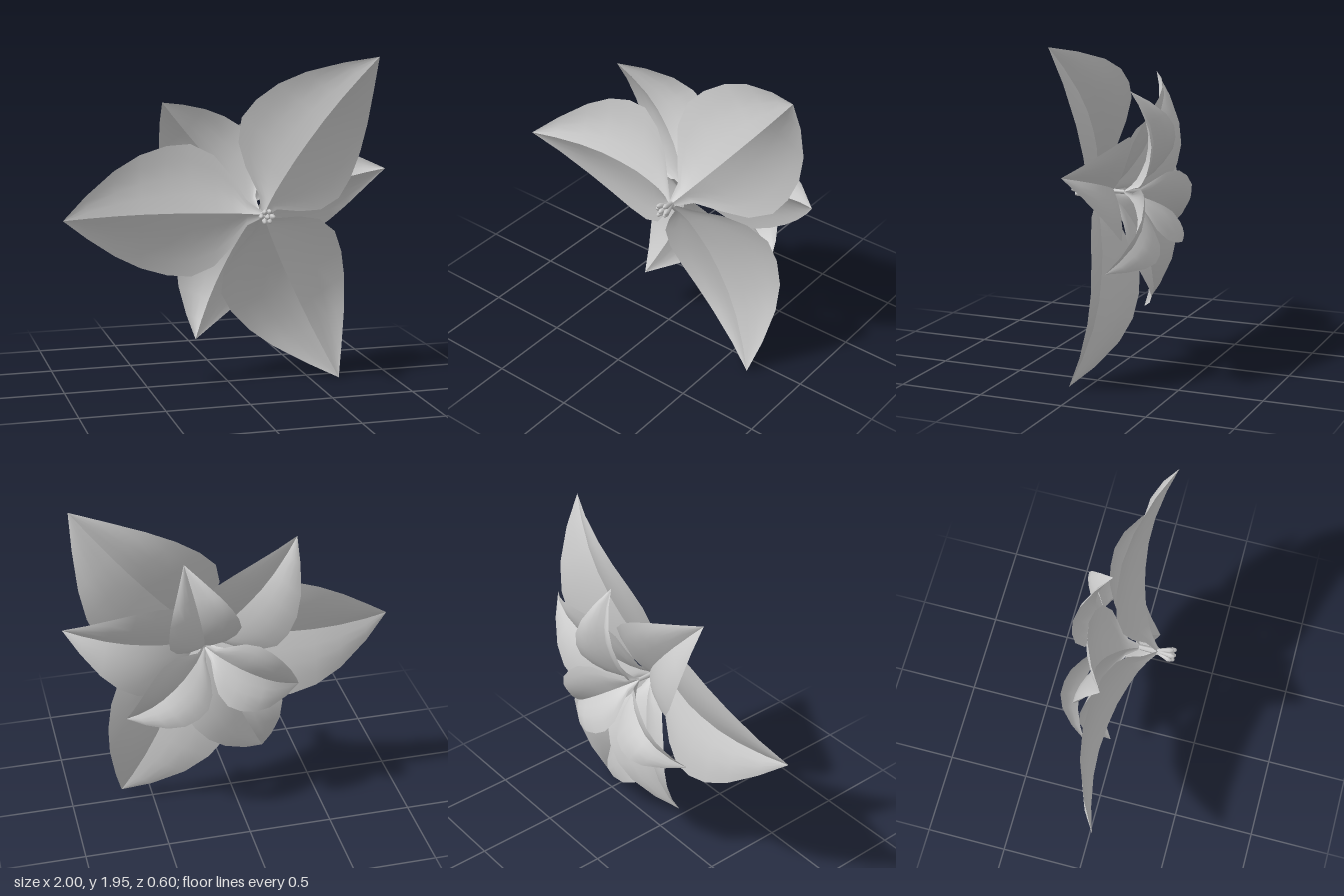
import * as THREE from 'three';

const material = new THREE.MeshStandardMaterial({ color: 0xcccccc, side: THREE.DoubleSide });
const CENTRE_X = 0.165, CENTRE_Y = 1.06;

// Leaf cross-sections: distance from the base, half width, rib height, drop of the edge below the rib
const SECTIONS = [
  [0, 0.015, 0.2, 0.005],
  [0.08, 0.075, 0.145, 0.03],
  [0.16, 0.22, 0.105, 0.06],
  [0.25, 0.335, 0.075, 0.075],
  [0.38, 0.4, 0.04, 0.088],
  [0.52, 0.39, 0.02, 0.092],
  [0.68, 0.34, 0.01, 0.09],
  [0.84, 0.255, 0.02, 0.075],
  [1.02, 0.125, 0.055, 0.042],
  [1.17, 0, 0.1, 0],
];

// One half of a petal, on the side +1 or -1 of its rib
function halfPetal(side) {
  const columns = 4, positions = [], indices = [];
  for (const [r, w, z, drop] of SECTIONS) {
    for (let j = 0; j <= columns; j++) {
      const u = j / columns;
      // steep beside the rib, flattening towards the edge
      positions.push(r, side * w * u, z - drop * (1 - (1 - u) ** 2));
    }
  }
  const row = columns + 1;
  for (let i = 0; i < SECTIONS.length - 1; i++) {
    for (let j = 0; j < columns; j++) {
      const a = i * row + j, b = a + row, c = b + 1, d = a + 1;
      if (side > 0) indices.push(a, b, c, a, c, d);
      else indices.push(a, c, b, a, d, c);
    }
  }
  const geometry = new THREE.BufferGeometry();
  geometry.setAttribute('position', new THREE.Float32BufferAttribute(positions, 3));
  geometry.setIndex(indices);
  geometry.computeVertexNormals();
  return geometry;
}

export function createModel() {
  const model = new THREE.Group();
  model.name = 'flower';
  const flower = new THREE.Group();
  flower.name = 'flowerHead';
  flower.position.set(CENTRE_X, CENTRE_Y, 0);
  model.add(flower);

  // Three whorls of three petals, each smaller and further back
  const halves = [halfPetal(1), halfPetal(-1)];
  const whorls = [
    { name: 'largePetal', scale: 1, turn: 50.5, z: 0 },
    { name: 'middlePetal', scale: 0.735, turn: 245, z: -0.11 },
    { name: 'smallPetal', scale: 0.535, turn: 77.5, z: -0.22 },
  ];
  for (const { name, scale, turn, z } of whorls) {
    for (const angle of [0, 129.5, 245.5]) {
      const petal = new THREE.Group();
      petal.name = name;
      for (const half of halves) {
        const mesh = new THREE.Mesh(half, material);
        mesh.name = name + 'Half';
        petal.add(mesh);
      }
      petal.scale.set(scale, scale, 1);
      petal.rotation.z = THREE.MathUtils.degToRad(turn + angle);
      petal.position.z = z;
      flower.add(petal);
    }
  }

  // Short stem joining the whorls
  const stem = new THREE.Mesh(new THREE.CylinderGeometry(0.022, 0.012, 0.24, 6), material);
  stem.name = 'stem';
  stem.rotation.x = Math.PI / 2;
  stem.position.z = 0.09;
  flower.add(stem);

  // Cluster of small buds at the heart, one in the middle and a ring leaning outwards
  const budProfile = [[0, 0], [0.009, 0], [0.014, 0.05], [0.018, 0.075], [0.01, 0.095], [0, 0.1]]
    .map(([x, y]) => new THREE.Vector2(x, y));
  const budGeometry = new THREE.LatheGeometry(budProfile, 6);
  const up = new THREE.Vector3(0, 1, 0);
  for (let i = 0; i < 7; i++) {
    const a = (i / 6) * Math.PI * 2;
    const lean = i === 6 ? 0 : 0.3;
    const direction = new THREE.Vector3(lean * Math.cos(a), lean * Math.sin(a), 1).normalize();
    const bud = new THREE.Mesh(budGeometry, material);
    bud.name = 'bud';
    bud.quaternion.setFromUnitVectors(up, direction);
    bud.position.set(lean * 0.03 * Math.cos(a), lean * 0.03 * Math.sin(a), i % 2 ? 0.185 : 0.2);
    flower.add(bud);
  }
  return model;
}
